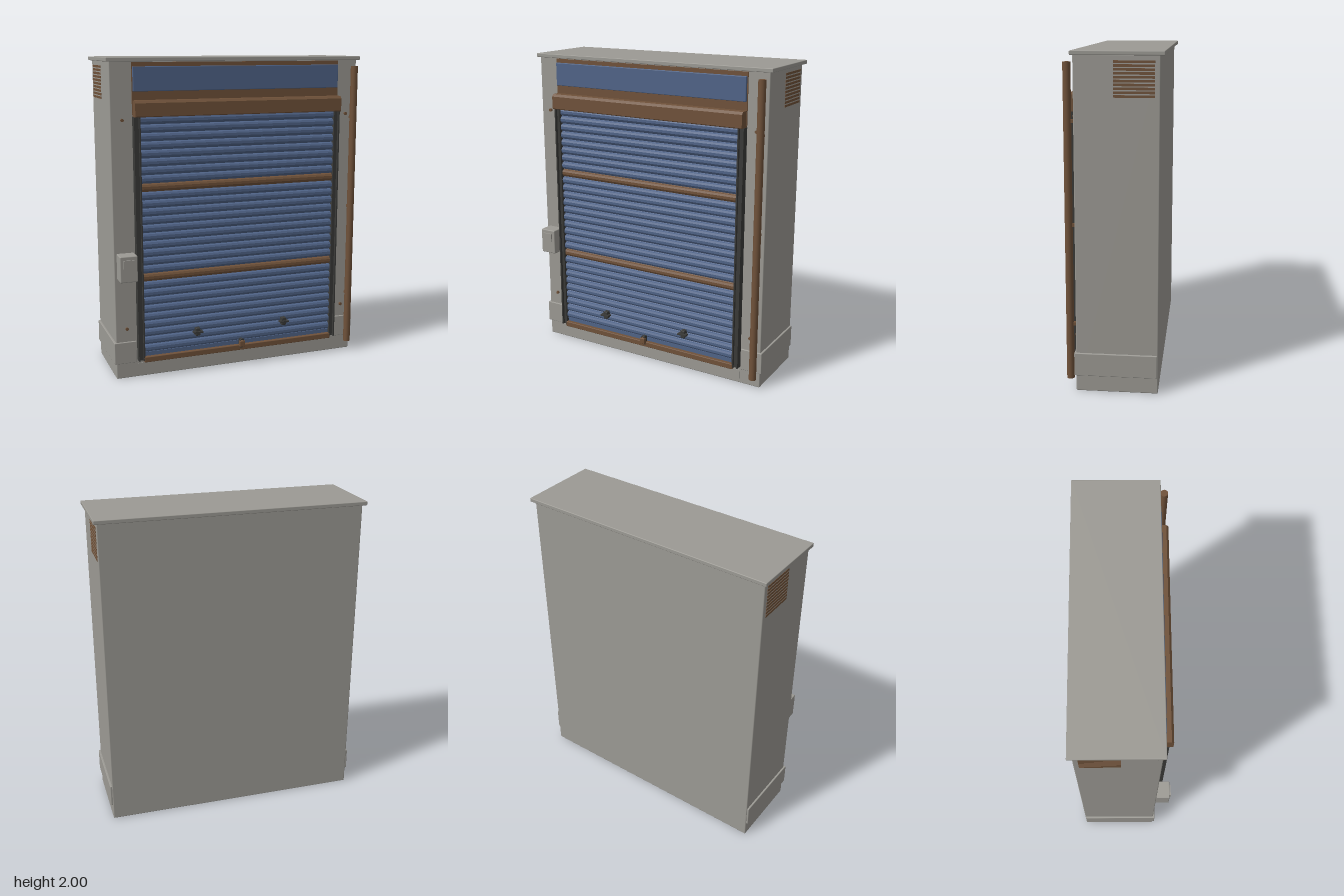
import * as THREE from 'three';
import { RoundedBoxGeometry } from 'three/addons/geometries/RoundedBoxGeometry.js';

const material = (name, color) => {
  const m = new THREE.MeshStandardMaterial({ color });
  m.name = name;
  return m;
};

export function createModel() {
  const concrete = material('concrete grey', 0x9c9a94);
  const blue = material('shutter blue', 0x506488);
  const rust = material('rusty brown', 0x70523a);
  const dark = material('dark steel', 0x3a3a38);

  const model = new THREE.Group();
  model.name = 'rollerShutterFront';

  const add = (name, geometry, mat, x = 0, y = 0, z = 0, parent = model) => {
    const mesh = new THREE.Mesh(geometry, mat);
    mesh.name = name;
    mesh.position.set(x, y, z);
    parent.add(mesh);
    return mesh;
  };
  // Box given by its extents along each axis
  const box = (name, mat, [x0, x1], [y0, y1], [z0, z1], bevel = 0, parent = model) => {
    const s = [x1 - x0, y1 - y0, z1 - z0];
    const g = bevel ? new RoundedBoxGeometry(...s, 2, bevel) : new THREE.BoxGeometry(...s);
    return add(name, g, mat, (x0 + x1) / 2, (y0 + y1) / 2, (z0 + z1) / 2, parent);
  };
  // Profile of [z, y] points extruded along x, centred on x = 0
  const barGeometry = (points, width) => {
    const shape = new THREE.Shape(points.map(([z, y]) => new THREE.Vector2(-z, y)));
    const g = new THREE.ExtrudeGeometry(shape, { depth: width, bevelEnabled: false });
    return g.translate(0, 0, -width / 2).rotateY(Math.PI / 2);
  };
  const group = (name) => {
    const g = new THREE.Group();
    g.name = name;
    model.add(g);
    return g;
  };

  // Wall block and roof slab
  box('wall', concrete, [-0.82, 0.82], [0, 1.98], [-0.28, 0.205], 0.006);
  box('roofSlab', concrete, [-0.84, 0.84], [1.976, 2], [-0.305, 0.22], 0.004);
  box('sill', concrete, [-0.68, 0.68], [0.015, 0.088], [0.19, 0.208]);

  for (const s of [-1, 1]) {
    const span = (a, b) => (s > 0 ? [a, b] : [-b, -a]);

    // Plinth wrapping the wall corner
    box('plinth', concrete, span(0.69, 0.832), [0.1, 0.24], [-0.275, 0.215], 0.004);

    // Channel guide: back plate with two flanges
    const guide = group('shutterGuide');
    box('guidePlate', dark, span(0.645, 0.685), [0.115, 1.65], [0.2, 0.235], 0, guide);
    box('innerFlange', dark, span(0.645, 0.653), [0.115, 1.65], [0.235, 0.252], 0, guide);
    box('outerFlange', dark, span(0.677, 0.685), [0.115, 1.65], [0.235, 0.252], 0, guide);

    // Vent slats high on the side wall
    const vent = group('sideVent');
    for (let i = 0; i < 10; i++) {
      const y = 1.745 + i * 0.021;
      box('ventSlat', rust, span(0.818, 0.822), [y, y + 0.014], [-0.25, -0.02], 0, vent);
    }

    // Wall bolts
    for (const y of [0.325, 1.63]) {
      const bolt = new THREE.CylinderGeometry(0.01, 0.01, 0.014, 12).rotateX(Math.PI / 2);
      add('wallBolt', bolt, rust, s * 0.748, y, 0.21);
    }

    // Lift handle: upright mount with a cross pin
    const handle = group('liftHandle');
    box('handleMount', dark, [s * 0.3 - 0.015, s * 0.3 + 0.015], [0.245, 0.296], [0.235, 0.272], 0.004, handle);
    box('handlePin', dark, [s * 0.3 - 0.031, s * 0.3 + 0.031], [0.266, 0.276], [0.25, 0.284], 0, handle);
  }

  // Shutter curtain: bevelled slats, two of them rusty
  const curtain = group('shutterCurtain');
  const pitch = 0.0514;
  const slat = barGeometry([
    [0.2, -0.0257], [0.222, -0.0257], [0.226, -0.02], [0.236, -0.018], [0.242, -0.008],
    [0.242, 0.008], [0.236, 0.02], [0.226, 0.0225], [0.222, 0.0257], [0.2, 0.0257],
  ], 1.29);
  for (let i = 1; i < 30; i++) {
    const rusty = i === 10 || i === 21;
    add(rusty ? 'rustySlat' : 'slat', slat, rusty ? rust : blue, 0, 0.652 + (i - 10) * pitch, 0, curtain);
  }
  box('curtainFoot', blue, [-0.645, 0.645], [0.138, 0.166], [0.2, 0.23], 0, curtain);
  box('bottomBar', rust, [-0.65, 0.65], [0.105, 0.14], [0.2, 0.255], 0.004, curtain);

  // Backing panel, roller hood and sign panel
  box('backingPanel', rust, [-0.685, 0.685], [1.66, 1.972], [0.19, 0.212]);
  add('rollerHood', barGeometry([
    [0.2, 1.65], [0.27, 1.65], [0.275, 1.655], [0.275, 1.733], [0.262, 1.748], [0.2, 1.748],
  ], 1.364), rust);
  box('signPanel', blue, [-0.68, 0.68], [1.8, 1.947], [0.2, 0.225], 0.004);

  // Padlock at the foot of the shutter
  const padlock = group('padlock');
  box('lockBody', rust, [-0.018, 0.018], [0.136, 0.176], [0.262, 0.285], 0.004, padlock);
  add('lockShackle', new THREE.TorusGeometry(0.011, 0.0035, 8, 16, Math.PI), dark, 0, 0.176, 0.272, padlock);
  box('lockHasp', dark, [-0.01, 0.01], [0.125, 0.185], [0.235, 0.264], 0, padlock);

  // Drain pipe with small wall clips behind it
  add('drainPipe', new THREE.CylinderGeometry(0.023, 0.023, 1.87, 16), rust, 0.787, 1.003, 0.243);
  for (const y of [0.4, 1, 1.6]) box('pipeClip', rust, [0.777, 0.797], [y, y + 0.02], [0.2, 0.235]);

  // Control box on the right jamb
  const control = group('controlBox');
  box('controlHousing', concrete, [-0.802, -0.692], [0.65, 0.814], [0.2, 0.296], 0.006, control);
  box('controlPlate', concrete, [-0.78, -0.714], [0.735, 0.79], [0.295, 0.304], 0, control);

  return model;
}
